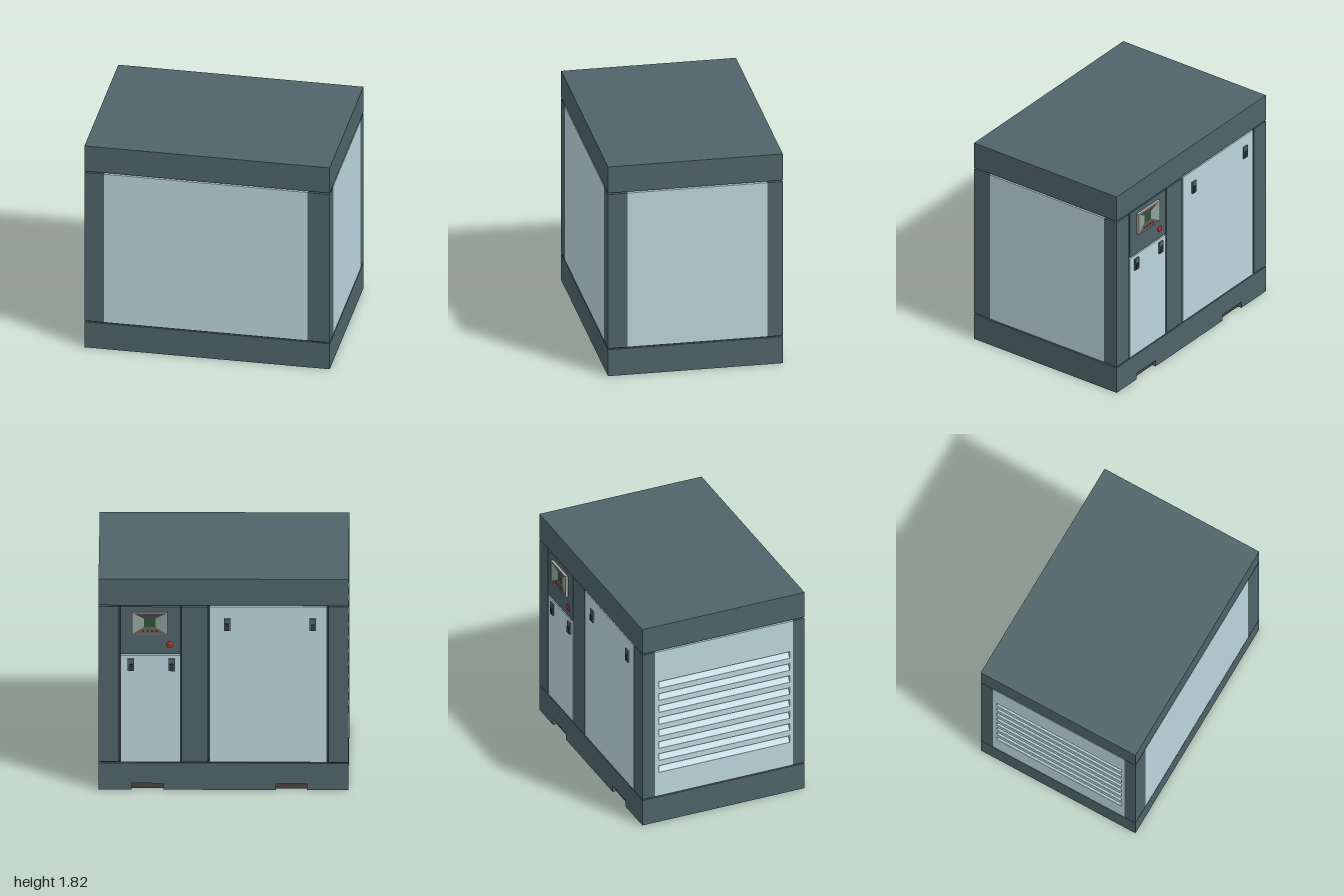
import * as THREE from 'three';

const mat = (color, extra = {}) => new THREE.MeshStandardMaterial({ color, ...extra });
const DARK = mat(0x4f6469), LIGHT = mat(0xbcd5dc), SEAM = mat(0x2c393d), BROWN = mat(0x4a423e);
const RED = mat(0xa8302c), GREY = mat(0xa6a6a2), SCREEN = mat(0x2f5238);
const SLOPE_SIDE = mat(0x8fa39c, { side: THREE.DoubleSide });
const SLOPE_END = mat(0x55524c, { side: THREE.DoubleSide });
const SLAT = mat(0xbcd5dc, { side: THREE.DoubleSide });

export function createModel() {
  const model = new THREE.Group();

  const add = (name, geometry, material, parent = model) => {
    const mesh = new THREE.Mesh(geometry, material);
    mesh.name = name;
    parent.add(mesh);
    return mesh;
  };
  // Box given by its limits on each axis
  const box = (name, [x0, x1], [y0, y1], [z0, z1], material, parent) => {
    const mesh = add(name, new THREE.BoxGeometry(x1 - x0, y1 - y0, z1 - z0), material, parent);
    mesh.position.set((x0 + x1) / 2, (y0 + y1) / 2, (z0 + z1) / 2);
    return mesh;
  };
  // Flat four-cornered face, corners anticlockwise
  const quad = (name, corners, material, parent) => {
    const g = new THREE.BufferGeometry();
    g.setAttribute('position', new THREE.Float32BufferAttribute(corners.flat(), 3));
    g.setIndex([0, 1, 2, 0, 2, 3]);
    g.computeVertexNormals();
    return add(name, g, material, parent);
  };

  const BACK = -0.705, FRONT = 0.72, Y0 = 0.24, Y1 = 1.58;
  const bodyY = [Y0, Y1];

  // Base with two fork pockets cut into the back edge
  const NOTCH = 0.035;
  box('base', [-1, 1], [0, 0.23], [BACK + NOTCH, FRONT], DARK);
  const pockets = [[-0.67, -0.42], [0.48, 0.735]];
  const rim = new THREE.Shape();
  rim.moveTo(-1, 0);
  for (const [a, b] of pockets) {
    rim.lineTo(a, 0); rim.lineTo(a, 0.055); rim.lineTo(b, 0.055); rim.lineTo(b, 0);
  }
  rim.lineTo(1, 0); rim.lineTo(1, 0.23); rim.lineTo(-1, 0.23);
  add('baseBackRim', new THREE.ExtrudeGeometry(rim, { depth: NOTCH, bevelEnabled: false }), DARK).position.z = BACK;
  for (const p of pockets) box('forkPocket', p, [0.001, 0.055], [BACK + NOTCH - 0.003, BACK + NOTCH], BROWN);

  // Roof and the recessed seams above and below the body
  box('roof', [-1, 1], [1.592, 1.82], [BACK, FRONT], DARK);
  box('lowerSeam', [-0.98, 0.98], [0.225, 0.245], [-0.69, 0.705], SEAM);
  box('upperSeam', [-0.945, 0.945], [1.575, 1.595], [-0.665, 0.685], SEAM);
  box('innerCore', [-0.94, 0.95], bodyY, [-0.66, 0.68], SEAM);

  // Corner posts and the back middle post
  box('frontRightPost', [-1, -0.84], bodyY, [0.62, FRONT], DARK);
  box('frontLeftPost', [0.82, 1], bodyY, [0.56, FRONT], DARK);
  box('backLeftPost', [0.835, 1], bodyY, [BACK, -0.58], DARK);
  box('backRightPost', [-1, -0.84], bodyY, [BACK, -0.594], DARK);
  box('backMiddlePost', [0.125, 0.335], bodyY, [BACK, -0.65], DARK);

  // Plain front and left panels
  box('frontPanel', [-0.84, 0.82], bodyY, [0.67, FRONT], LIGHT);
  box('leftPanel', [0.94, 1], bodyY, [-0.58, 0.56], LIGHT);

  // Back doors and control panel, with narrow gaps around them
  box('narrowDoor', [0.345, 0.823], [Y0, 1.16], [BACK, -0.65], LIGHT);
  box('wideDoor', [-0.828, 0.113], bodyY, [BACK, -0.65], LIGHT);
  box('controlPanel', [0.345, 0.823], [1.172, Y1], [BACK, -0.65], DARK);

  // Door handles: plate with a raised grip
  for (const [x, y] of [[0.74, 1.08], [0.415, 1.08], [-0.03, 1.43], [-0.715, 1.43]]) {
    const handle = new THREE.Group();
    handle.name = 'doorHandle';
    handle.position.set(x, y, BACK);
    box('handlePlate', [-0.026, 0.026], [-0.052, 0.052], [-0.012, 0], DARK, handle);
    box('handleGrip', [-0.015, 0.015], [-0.045, 0.01], [-0.018, -0.012], SEAM, handle);
    model.add(handle);
  }

  // Display: raised frame, slopes running in to a small screen
  const display = new THREE.Group();
  display.name = 'display';
  display.position.set(0.59, 1.442, BACK);
  display.rotation.y = Math.PI;
  model.add(display);
  const W = 0.143, H = 0.096, D = 0.022, T = 0.008;
  for (const s of [-1, 1]) {
    box('frameSide', s < 0 ? [-W, -W + T] : [W - T, W], [-H, H], [0, D], GREY, display);
    box('frameBar', [-W + T, W - T], s < 0 ? [-H, -H + T] : [H - T, H], [0, D], GREY, display);
  }
  const ring = (w, h, z) => [[-w, -h, z], [w, -h, z], [w, h, z], [-w, h, z]];
  const outer = ring(W - T, H - T, D - 0.002), inner = ring(0.045, 0.036, 0.003);
  for (let i = 0; i < 4; i++) {
    const j = (i + 1) % 4;
    quad('displaySlope', [outer[i], outer[j], inner[j], inner[i]], i % 2 ? SLOPE_SIDE : SLOPE_END, display);
  }
  quad('screen', inner, SCREEN, display);
  for (let i = 0; i < 4; i++) {
    const key = add('displayKey', new THREE.CylinderGeometry(0.007, 0.007, 0.008, 10), RED, display);
    key.rotation.x = Math.PI / 2;
    key.position.set(-0.054 + i * 0.036, -0.07, 0.015);
  }

  // Emergency stop button: collar and domed cap
  const collar = add('stopCollar', new THREE.CylinderGeometry(0.02, 0.02, 0.006, 20), DARK);
  collar.rotation.x = Math.PI / 2;
  collar.position.set(0.43, 1.257, BACK - 0.003);
  const cap = add('stopButton', new THREE.SphereGeometry(0.028, 20, 12), RED);
  cap.scale.z = 0.3;
  cap.position.set(0.43, 1.257, BACK - 0.006);

  // Right panel with eight slots, each closed by a slat sloping up and inwards
  const zA = -0.557, zB = 0.59, slotH = 0.062, pitch = 0.1116, depth = 0.05;
  const sheet = new THREE.Shape([[-0.594, Y0], [0.62, Y0], [0.62, Y1], [-0.594, Y1]].map(p => new THREE.Vector2(...p)));
  for (let i = 0; i < 8; i++) {
    const y = 0.457 + i * pitch, t = y + slotH;
    sheet.holes.push(new THREE.Path([[zA, y], [zA, t], [zB, t], [zB, y]].map(p => new THREE.Vector2(...p))));
    quad('louvreSlat', [[-0.998, y, zA], [-0.998, y, zB], [-1 + depth, t, zB], [-1 + depth, t, zA]], SLAT);
  }
  const panel = add('louvrePanel', new THREE.ExtrudeGeometry(sheet, { depth: depth + 0.005, bevelEnabled: false }), LIGHT);
  panel.rotation.y = -Math.PI / 2;
  panel.position.x = -1 + depth + 0.005;

  return model;
}
